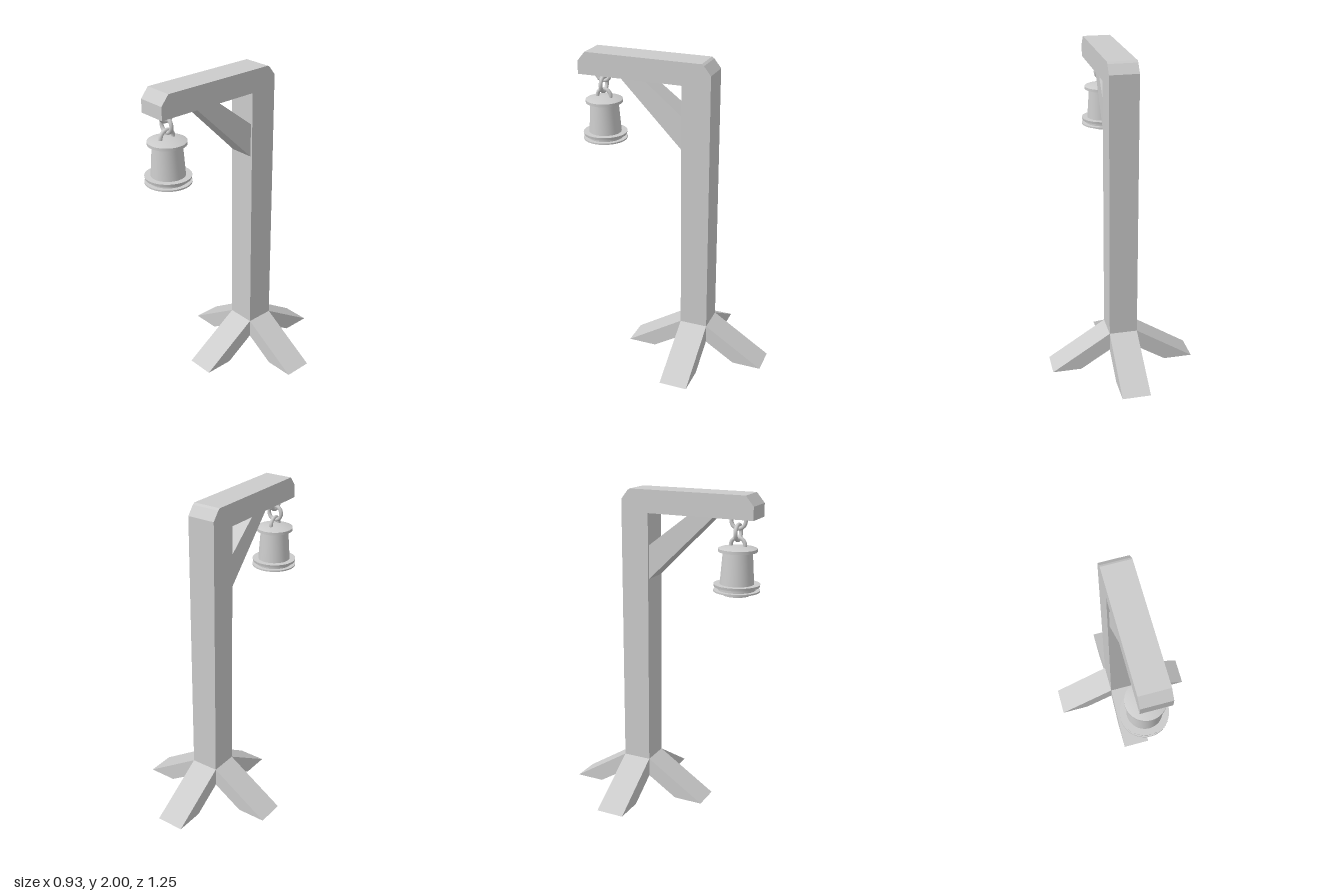
import * as THREE from 'three';
import { toCreasedNormals } from 'three/addons/utils/BufferGeometryUtils.js';

const grey = new THREE.MeshStandardMaterial({ color: 0xcccccc });
const flat = new THREE.MeshStandardMaterial({ color: 0xcccccc, flatShading: true });

const HALF = 0.09;      // half width of the timber
const POST_Z = -0.163;  // centre of the post

// Extrudes a side outline given as [z, y] points to a width centred on x = 0
function sideProfile(points, width) {
  const shape = new THREE.Shape(points.map(([z, y]) => new THREE.Vector2(z, y)));
  return new THREE.ExtrudeGeometry(shape, { depth: width, bevelEnabled: false })
    .translate(0, 0, -width / 2)
    .rotateY(-Math.PI / 2);
}

function addMesh(parent, name, geometry, material) {
  const mesh = new THREE.Mesh(geometry, material);
  mesh.name = name;
  parent.add(mesh);
  return mesh;
}

export function createModel() {
  const model = new THREE.Group();
  model.name = 'hangingLampPost';

  // Post and arm with chamfered ends
  const back = POST_Z - HALF, front = POST_Z + HALF;
  addMesh(model, 'postAndArm', sideProfile([
    [back, 0.12], [front, 0.12], [front, 1.86], [0.6, 1.86], [0.6, 1.94],
    [0.55, 2], [-0.195, 2], [-0.21, 1.99], [back, 1.935],
  ], HALF * 2), flat);

  // Diagonal brace, a little narrower towards the arm
  const brace = sideProfile([
    [front - 0.01, 1.443], [0.34, 1.86], [0.34, 1.87], [0.18, 1.87],
    [0.18, 1.86], [front - 0.01, 1.655],
  ], 2);
  const p = brace.attributes.position;
  for (let i = 0; i < p.count; i++) {
    const t = (p.getZ(i) - front) / (0.34 - front);
    p.setX(i, p.getX(i) * (0.078 - 0.022 * t));
  }
  addMesh(model, 'brace', brace, flat);

  // Four splayed feet
  const foot = sideProfile([[HALF, 0.12], [0.28, 0], [0.465, 0], [HALF, 0.24]], HALF * 2);
  for (let i = 0; i < 4; i++) {
    const mesh = addMesh(model, 'foot', foot, flat);
    mesh.position.z = POST_Z;
    mesh.rotation.y = i * Math.PI / 2;
  }

  const lantern = new THREE.Group();
  lantern.name = 'lantern';
  lantern.position.set(-0.023, 0, 0.485);
  model.add(lantern);

  // Chain of three links, alternately turned; the end ones sink into arm and cap
  [[1.845, true], [1.777, false], [1.702, true]].forEach(([y, turned]) => {
    const link = addMesh(lantern, 'chainLink', new THREE.TorusGeometry(0.045, 0.012, 10, 28), grey);
    link.position.y = y;
    if (turned) link.rotation.y = Math.PI / 2;
  });

  // Turned body: base, double rim, tapered barrel and capped top
  const outline = [
    [0, 1.405], [0.08, 1.405], [0.082, 1.428], [0.139, 1.428], [0.139, 1.437],
    [0.112, 1.437], [0.112, 1.457], [0.136, 1.457], [0.139, 1.473], [0.102, 1.473],
    [0.088, 1.665], [0.116, 1.665], [0.116, 1.683], [0.106, 1.687], [0, 1.705],
  ].map(([r, y]) => new THREE.Vector2(r, y - 1.55));
  const body = addMesh(lantern, 'lanternBody',
    toCreasedNormals(new THREE.LatheGeometry(outline, 40), 0.5), grey);
  body.position.y = 1.55;
  body.rotation.z = -0.008;

  return model;
}
